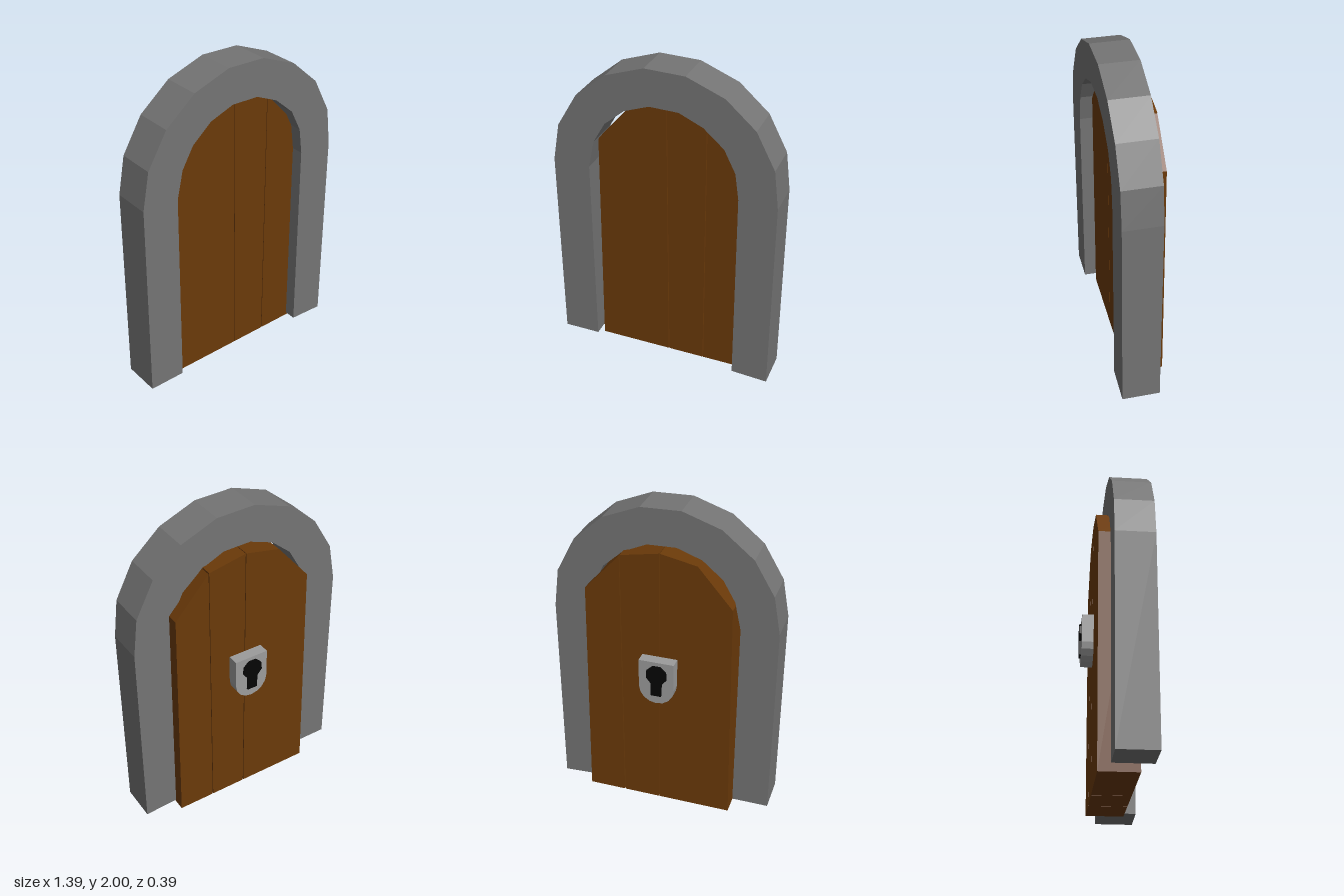
import * as THREE from 'three';

const paint = (color) => new THREE.MeshStandardMaterial({ color, flatShading: true });
const points = (list) => list.map(([x, y]) => new THREE.Vector2(x, y));

// Flat outline in x/y extruded between two depths
function slab(name, outline, zBack, zFront, material) {
  const geometry = new THREE.ExtrudeGeometry(new THREE.Shape(points(outline)), {
    depth: zFront - zBack, bevelEnabled: false, steps: 1,
  });
  geometry.translate(0, 0, zBack);
  const mesh = new THREE.Mesh(geometry, material);
  mesh.name = name;
  return mesh;
}

// Points along a circular arc, angles in degrees
function arc(cx, cy, r, from, to, segments) {
  return Array.from({ length: segments + 1 }, (_, i) => {
    const a = THREE.MathUtils.degToRad(from + (to - from) * i / segments);
    return [cx + r * Math.cos(a), cy + r * Math.sin(a)];
  });
}

export function createModel() {
  const door = new THREE.Group();
  door.name = 'archedDoor';
  const stone = paint(0x747474);
  const wood = paint(0x6b3a09);
  const iron = paint(0x9c9c9c);
  const black = paint(0x050505);

  // Slightly uneven stone frame: outer edge, then inner edge back down
  const outer = [
    [-0.698, 0.045], [-0.698, 1.32], [-0.655, 1.555], [-0.53, 1.765], [-0.34, 1.92], [-0.105, 2.0],
    [0.14, 1.993], [0.37, 1.90], [0.55, 1.74], [0.665, 1.52], [0.695, 1.28], [0.695, 0.002],
  ];
  const inner = [
    [0.467, 0.015], [0.463, 1.29], [0.44, 1.455], [0.37, 1.595], [0.245, 1.705], [0.10, 1.77],
    [-0.077, 1.775], [-0.23, 1.72], [-0.355, 1.615], [-0.43, 1.485], [-0.468, 1.31], [-0.468, 0.045],
  ];
  door.add(slab('stoneArch', [...outer, ...inner], -0.04, 0.195, stone));

  // Three thick planks with hairline gaps, reaching forward into the arch
  const planks = [
    [[-0.457, 0], [0.006, 0], [-0.003, 1.76], [-0.225, 1.715], [-0.436, 1.47]],
    [[0.011, 0], [0.242, 0], [0.24, 1.715], [0.001, 1.76]],
    [[0.247, 0], [0.482, 0], [0.463, 1.47], [0.244, 1.71]],
  ];
  planks.forEach((outline, i) => door.add(slab(`plank${i + 1}`, outline, -0.112, 0.12, wood)));

  // Lock plate, rounded at the bottom
  const plate = [[0.11, 1.08], [-0.11, 1.08], ...arc(0, 0.9, 0.11, 180, 360, 8)];
  door.add(slab('lockPlate', plate, -0.182, -0.112, iron));

  // Keyhole: round head with a straight slot below
  const keyhole = [[-0.033, 0.85], [0.033, 0.85], ...arc(-0.003, 0.993, 0.067, -60, 240, 7)];
  door.add(slab('keyhole', keyhole, -0.194, -0.18, black));

  return door;
}
